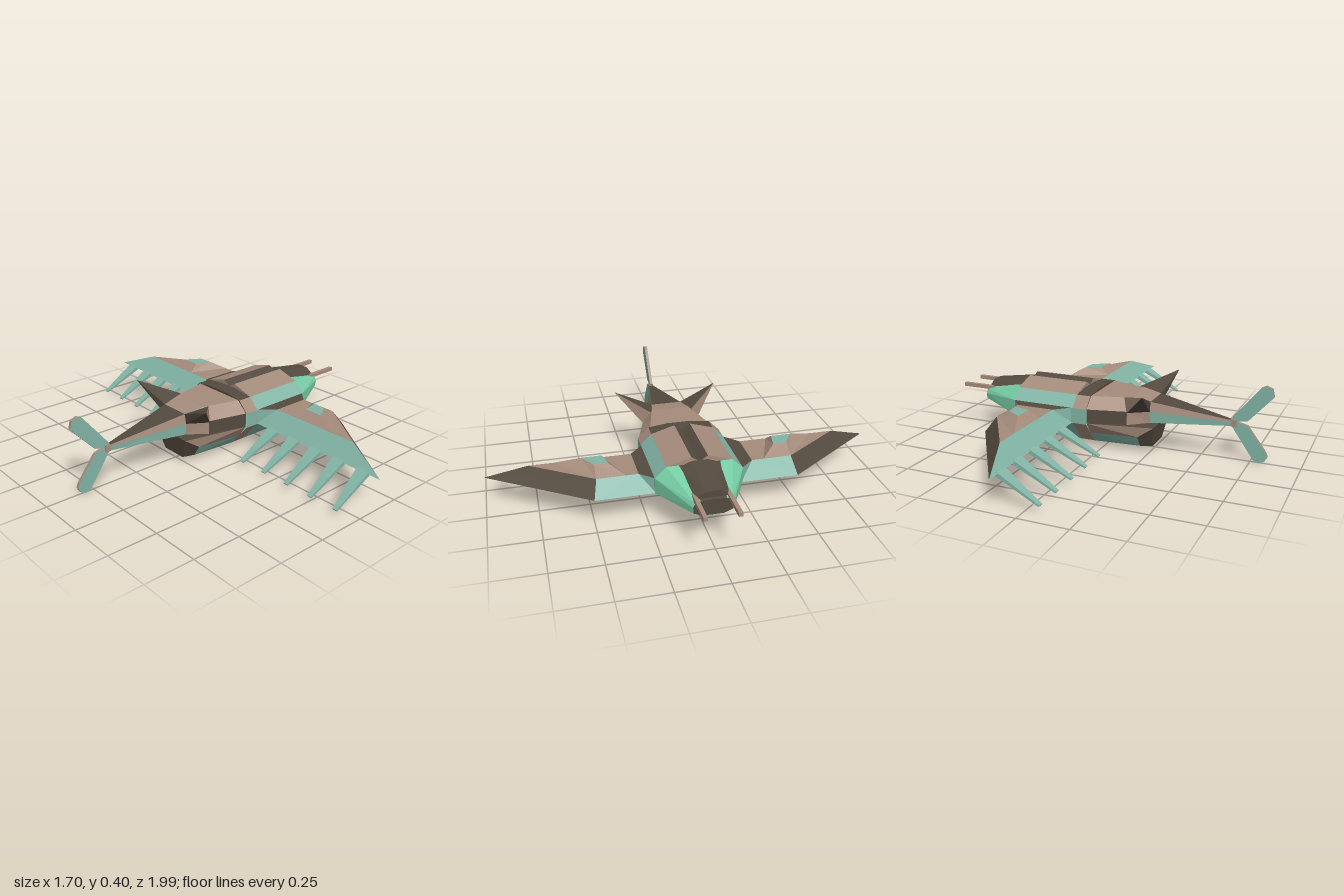
import * as THREE from 'three';

const mat = (name, color) => {
  const m = new THREE.MeshStandardMaterial({ color, side: THREE.DoubleSide });
  m.name = name;
  return m;
};

export function createModel() {
  const model = new THREE.Group();
  model.name = 'aircraft';
  const brown = mat('brown', 0xa58c7c);
  const dark = mat('dark brown', 0x544a3f);
  const teal = mat('teal', 0x82b5a6);
  const green = mat('emerald', 0x78d0a8);

  // Flat panels [material, corner, corner, ...] gathered in one mesh, optionally mirrored in z
  function panels(name, list, mirror = true) {
    const mats = [...new Set(list.map(p => p[0]))];
    const pos = [];
    const geo = new THREE.BufferGeometry();
    mats.forEach((m, i) => {
      const start = pos.length / 3;
      for (const [pm, ...c] of list) {
        if (pm !== m) continue;
        for (let k = 1; k < c.length - 1; k++) {
          pos.push(...c[0], ...c[k], ...c[k + 1]);
          if (mirror) for (const p of [c[0], c[k + 1], c[k]]) pos.push(p[0], p[1], -p[2]);
        }
      }
      geo.addGroup(start, pos.length / 3 - start, i);
    });
    geo.setAttribute('position', new THREE.Float32BufferAttribute(pos, 3));
    geo.computeVertexNormals();
    const mesh = new THREE.Mesh(geo, mats);
    mesh.name = name;
    model.add(mesh);
    return mesh;
  }

  // Panels between two half cross-sections (front, rear), one material per strip
  const strips = (a, b, mats) => mats.map((m, j) => [m, a[j], a[j + 1], b[j + 1], b[j]]);
  // Half cross-section of [y, z] points at one x
  const at = (x, pts) => pts.map(([y, z]) => [x, y, z]);

  // Main hull with a grooved roof and raked belly
  const main = [[0.295, 0], [0.32, 0.04], [0.285, 0.16], [0.23, 0.215], [0.15, 0.215], [0.03, 0.11], [0.03, 0]];
  const mainFront = at(0.46, main);
  mainFront[5][0] = mainFront[6][0] = 0.33;
  const mainRear = at(0.12, main);
  panels('mainHull', [
    ...strips(mainFront, mainRear, [dark, brown, teal, teal, teal, teal]),
    [teal, mainFront[4], mainFront[5], mainFront[6], [0.46, 0.15, 0]],
    [brown, ...mainFront.slice(0, 5), [0.46, 0.15, 0]],
    [brown, ...mainRear.slice(0, 4), [0.12, 0.23, 0]],
  ]);

  // Band behind the main hull
  const band = [[0.297, 0], [0.297, 0.06], [0.285, 0.16], [0.23, 0.215], [0.15, 0.215], [0.03, 0.11], [0.03, 0]];
  const bandRear = at(0.045, band);
  panels('hullBand', [
    ...strips(at(0.12, band), bandRear, [dark, dark, brown, teal, brown, brown]),
    [dark, ...bandRear.slice(0, 4), [0.045, 0.23, 0]],
  ]);

  // Upper rear body
  const midFront = at(0.045, [[0.285, 0], [0.285, 0.15], [0.23, 0.21], [0.155, 0.21]]);
  const midRear = at(-0.15, [[0.285, 0], [0.285, 0.1], [0.225, 0.15], [0.155, 0.15]]);
  panels('rearBody', strips(midFront, midRear, [brown, brown, dark]));

  // Lower rear hull with a notched back end
  const lowFront = at(0.045, [[0.155, 0.21], [0.09, 0.163], [0.03, 0.11], [0.03, 0]]);
  const lowRear = [[-0.28, 0.145, 0.12], [-0.2, 0.09, 0.13], [-0.2, 0.03, 0.09], [-0.2, 0.03, 0]];
  const heel = [-0.26, 0.03, 0.07];
  panels('lowerRearHull', [
    ...strips(lowFront, lowRear, [brown, teal, teal]),
    [dark, lowRear[0], lowRear[1], lowRear[2], heel],
    [teal, lowRear[2], lowRear[3], [-0.26, 0.03, 0], heel],
    [dark, lowRear[0], heel, [-0.26, 0.03, 0], [-0.28, 0.145, 0]],
    [dark, lowFront[0], lowRear[0], [-0.28, 0.145, 0], [0.045, 0.155, 0]],
  ]);

  // Tapered tail boom
  const boomFront = [...midRear, [-0.15, 0.155, 0]];
  const boomMid = at(-0.25, [[0.27, 0], [0.27, 0.08], [0.22, 0.09], [0.16, 0.085], [0.16, 0]]);
  const boomEnd = at(-0.65, [[0.205, 0], [0.205, 0.01], [0.195, 0.012], [0.175, 0.01], [0.175, 0]]);
  panels('tailBoom', [
    ...strips(boomFront, boomMid, [brown, teal, brown, dark]),
    ...strips(boomMid, boomEnd, [dark, brown, teal, dark]),
    [brown, ...boomEnd],
  ]);

  // Swept fins on the rear body
  const fin = [[-0.12, 0.285, 0.11], [-0.15, 0.22, 0.155], [-0.25, 0.22, 0.09], [-0.25, 0.27, 0.08]];
  const tip = [-0.28, 0.352, 0.28];
  panels('fins', fin.map((p, i) => [i ? dark : brown, p, fin[(i + 1) % 4], tip]));

  // Nose
  const noseRear = at(0.46, [[0.285, 0], [0.285, 0.1], [0.285, 0.16], [0.23, 0.215], [0.15, 0.215], [0.12, 0.13], [0.12, 0]]);
  noseRear[5][0] = noseRear[6][0] = 0.5;
  const noseTip = at(0.705, [[0.237, 0], [0.235, 0.06], [0.225, 0.085], [0.205, 0.095], [0.175, 0.092], [0.158, 0.05], [0.158, 0]]);
  panels('nose', [
    ...strips(noseTip, noseRear, [dark, green, green, green, green, green]),
    [dark, ...noseTip],
    [green, noseRear[4], noseRear[5], noseRear[6], [0.46, 0.15, 0]],
  ]);

  // Canopy ridge on the nose
  const ridgeRear = at(0.465, [[0.305, 0], [0.303, 0.04], [0.28, 0.1]]);
  const ridgeFront = at(0.69, [[0.272, 0], [0.27, 0.035], [0.24, 0.08]]);
  panels('canopy', [
    ...strips(ridgeFront, ridgeRear, [dark, dark]),
    [dark, ...ridgeFront, [0.69, 0.235, 0]],
  ]);

  // Wings: bevelled plates with a flat underside
  const b = [[0.125, 0.15, 0.21], [0.46, 0.15, 0.21], [0.46, 0.15, 0.5], [0.125, 0.15, 0.995]];
  const t = [[0.2, 0.23, 0.28], [0.4, 0.23, 0.28], [0.4, 0.23, 0.48], [0.2, 0.23, 0.78]];
  const r = [[0.125, 0.23, 0.21], [0.46, 0.23, 0.21]];
  panels('wings', [
    [dark, ...b],
    [brown, ...t],
    [dark, r[0], r[1], t[1], t[0]],
    [teal, r[0], t[0], b[0]],
    [teal, t[0], t[3], b[3], b[0]],
    [teal, t[1], t[2], b[2], b[1]],
    [teal, r[1], t[1], b[1]],
    [dark, t[2], t[3], b[3], b[2]],
  ]);

  // Raised pods on the wings
  const podBase = [[0.2, 0.23, 0.66], [0.2, 0.23, 0.42], [0.4, 0.23, 0.34], [0.4, 0.23, 0.48]];
  const podTop = [[0.25, 0.268, 0.53], [0.25, 0.268, 0.43], [0.335, 0.268, 0.41], [0.33, 0.268, 0.48]];
  panels('wingPods', [
    [teal, ...podTop],
    ...podBase.map((p, i) => [brown, p, podBase[(i + 1) % 4], podTop[(i + 1) % 4], podTop[i]]),
  ]);

  // Five drooping feather blades along each trailing edge
  for (let i = 0; i < 5; i++) {
    const zr = 0.325 + 0.1425 * i, zt = 0.305 + 0.151 * i;
    const root = [[0.13, 0.158, zr - 0.034], [0.13, 0.158, zr + 0.034], [0.14, 0.14, zr + 0.034], [0.14, 0.14, zr - 0.034]];
    const end = [[-0.07, 0.035, zt - 0.012], [-0.07, 0.035, zt + 0.012], [-0.065, 0.028, zt + 0.012], [-0.065, 0.028, zt - 0.012]];
    panels('feather' + (i + 1), [
      ...root.map((p, k) => [teal, p, root[(k + 1) % 4], end[(k + 1) % 4], end[k]]),
      [teal, ...end],
    ]);
  }

  // Two-bladed tail rotor with brown rims
  const blades = [
    [[-0.85, 0.345], [-0.84, 0.385], [-0.81, 0.397], [-0.785, 0.385], [-0.65, 0.215], [-0.67, 0.2], [-0.73, 0.21]],
    [[-0.73, 0.185], [-0.67, 0.2], [-0.65, 0.175], [-0.77, 0.005], [-0.79, 0], [-0.82, 0.01], [-0.835, 0.035], [-0.825, 0.06]],
  ];
  for (const pts of blades) {
    const shape = new THREE.Shape(pts.map(p => new THREE.Vector2(...p)));
    const geo = new THREE.ExtrudeGeometry(shape, { depth: 0.016, bevelEnabled: false });
    const blade = new THREE.Mesh(geo.translate(0, 0, -0.008), [teal, brown]);
    blade.name = 'tailBlade';
    model.add(blade);
  }
  const box = (name, size, p) => {
    const m = new THREE.Mesh(new THREE.BoxGeometry(...size), brown);
    m.name = name;
    m.position.set(...p);
    model.add(m);
  };
  box('tailHub', [0.03, 0.035, 0.024], [-0.66, 0.19, 0]);

  // Forward barrels
  for (const s of [-1, 1]) box('barrel', [0.2, 0.02, 0.02], [0.75, 0.237, s * 0.079]);

  return model;
}
